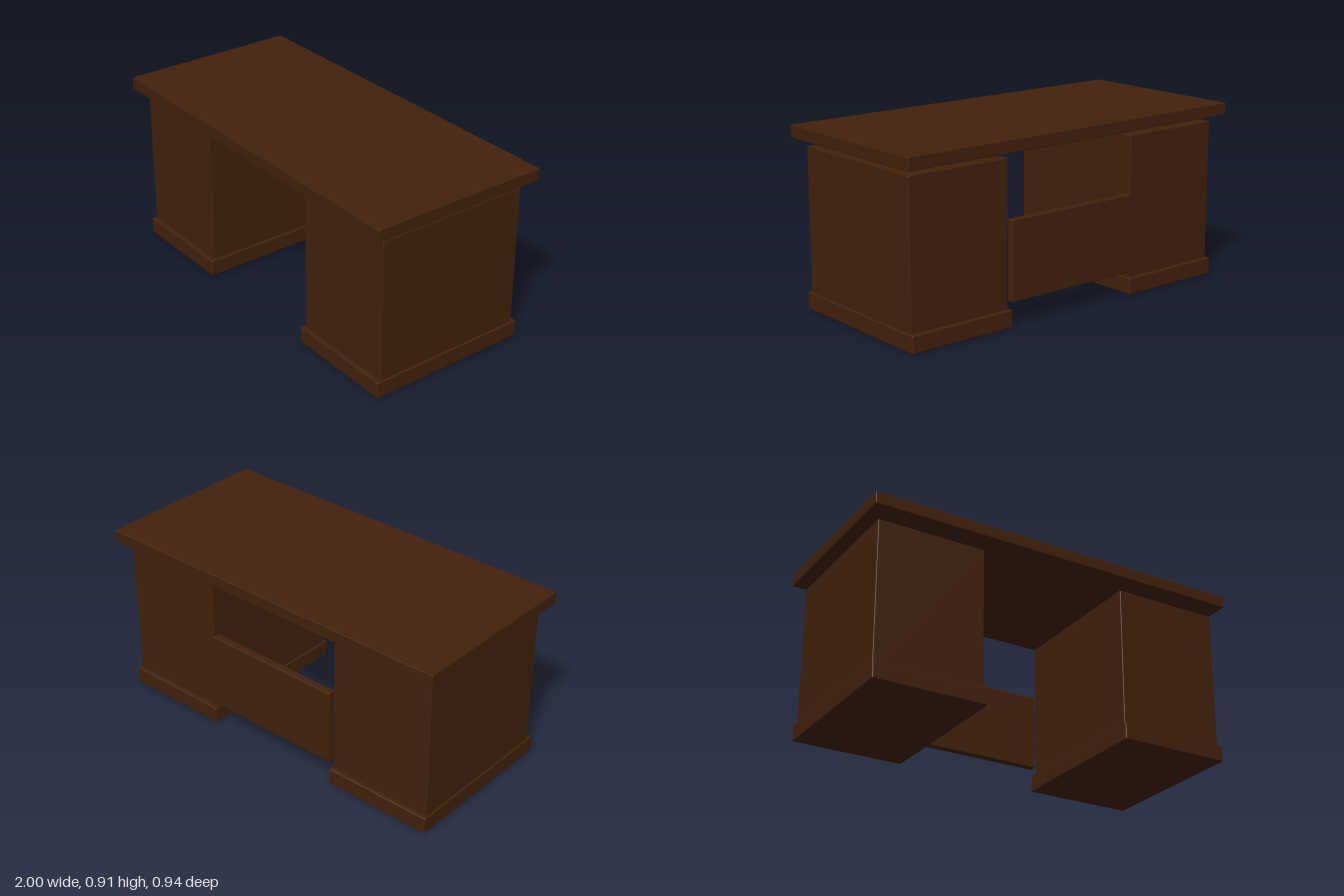
import * as THREE from 'three';
import { RoundedBoxGeometry } from 'three/addons/geometries/RoundedBoxGeometry.js';

const wood = new THREE.MeshStandardMaterial({ color: 0x42210d });
wood.name = 'dark walnut';

// Softly eased box given by its [min, max] extent on each axis
function board(name, [x0, x1], [y0, y1], [z0, z1], ease = 0.005) {
  const geometry = new RoundedBoxGeometry(x1 - x0, y1 - y0, z1 - z0, 2, ease);
  const mesh = new THREE.Mesh(geometry, wood);
  mesh.name = name;
  mesh.position.set((x0 + x1) / 2, (y0 + y1) / 2, (z0 + z1) / 2);
  return mesh;
}

// Cabinet on a slightly wider plinth
function pedestal(name, side) {
  const group = new THREE.Group();
  group.name = name;
  const span = (a, b) => (side > 0 ? [a, b] : [-b, -a]);
  group.add(
    board('cabinet', span(0.391, 0.953), [0.06, 0.811], [-0.405, 0.405]),
    board('plinth', span(0.381, 0.962), [0, 0.086], [-0.428, 0.428], 0.006),
  );
  return group;
}

export function createModel() {
  const desk = new THREE.Group();
  desk.name = 'desk';
  desk.add(
    board('desktop', [-1, 1], [0.847, 0.91], [-0.47, 0.47], 0.004),
    pedestal('leftPedestal', 1),
    pedestal('rightPedestal', -1),
    // Modesty panel hung between the pedestals at the back
    board('modestyPanel', [-0.38, 0.38], [0.12, 0.518], [-0.427, -0.387]),
  );
  return desk;
}
